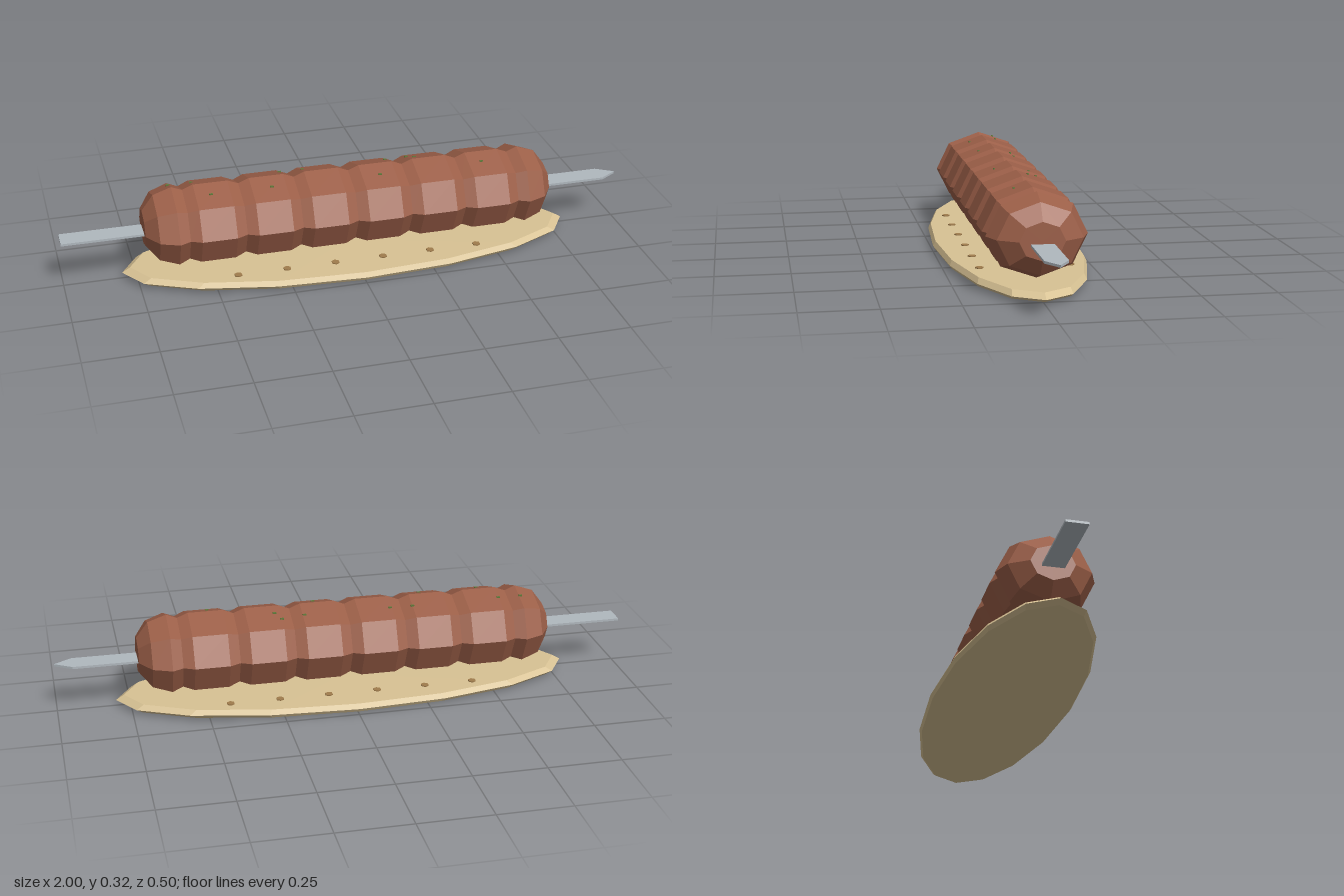
import * as THREE from 'three';

const mat = (color) => new THREE.MeshStandardMaterial({ color, flatShading: true });

// Faceted lathe from [radius, height] pairs
function lathe(profile, sides) {
  return new THREE.LatheGeometry(profile.map(([r, h]) => new THREE.Vector2(r, h)), sides);
}

function add(group, name, geometry, material, x = 0, y = 0, z = 0) {
  const mesh = new THREE.Mesh(geometry, material);
  mesh.name = name;
  mesh.position.set(x, y, z);
  group.add(mesh);
  return mesh;
}

export function createModel() {
  const model = new THREE.Group();
  model.name = 'kebabOnFlatbread';

  // Oval flatbread with a bevelled rim
  const bread = lathe([[0, 0], [0.75, 0], [0.97, 0.008], [1, 0.02], [0.965, 0.037], [0, 0.038]], 16);
  bread.scale(0.8, 1, 0.25);
  add(model, 'flatbread', bread, mat(0xd8c294));

  // Toasted spots in a row along each side of the bread
  const spots = new THREE.Group();
  spots.name = 'toastedSpots';
  const spotGeo = new THREE.CylinderGeometry(0.014, 0.014, 0.004, 6);
  const spotMat = mat(0xa07c4c);
  for (const z of [-0.15, 0.15])
    for (let i = 0; i < 6; i++) add(spots, 'toastedSpot', spotGeo, spotMat, (i - 2.5) * 0.17, 0.039, z);
  model.add(spots);

  // Meat: octagonal roll with seven evenly spaced grooves
  const pitch = 0.193, lip = 0.037;
  const profile = [[0, -0.72], [0.45, -0.72], [0.84, -0.68]];
  for (let i = -3; i <= 3; i++) {
    const x = i * pitch;
    profile.push([1, x - lip], [0.89, x], [1, x + lip]);
  }
  profile.push([0.84, 0.68], [0.45, 0.72], [0, 0.72]);
  const meat = lathe(profile, 8);
  meat.rotateZ(-Math.PI / 2);
  meat.scale(1, 0.138, 0.163);
  add(model, 'meat', meat, mat(0x9c5f48), 0, 0.184, -0.003);

  // Tiny herb flecks pressed into the upper facets
  const herbs = new THREE.Group();
  herbs.name = 'herbFlecks';
  const herbGeo = new THREE.BoxGeometry(0.012, 0.006, 0.006);
  const herbMat = mat(0x5f7a3a);
  const flecks = [[-0.62, -0.055], [-0.54, -0.055], [-0.28, 0.048], [-0.23, -0.06], [-0.15, -0.06],
    [-0.49, 0.05], [0.1, 0.05], [0.15, -0.06], [0.23, -0.07], [0.25, -0.04], [0.47, 0.045]];
  for (const [x, z] of flecks) add(herbs, 'herbFleck', herbGeo, herbMat, x, 0.322 - 0.347 * Math.abs(z + 0.003), z);
  model.add(herbs);

  // Flat skewer with a pointed tip at +x
  const blade = new THREE.Shape([[-1, -0.037], [0.94, -0.037], [1, 0], [0.94, 0.037], [-1, 0.037]]
    .map(([x, y]) => new THREE.Vector2(x, y)));
  const skewer = new THREE.ExtrudeGeometry(blade, { depth: 0.008, bevelEnabled: false });
  skewer.rotateX(-Math.PI / 2);
  add(model, 'skewer', skewer, mat(0xb0b8be), 0, 0.168, -0.003);

  return model;
}
